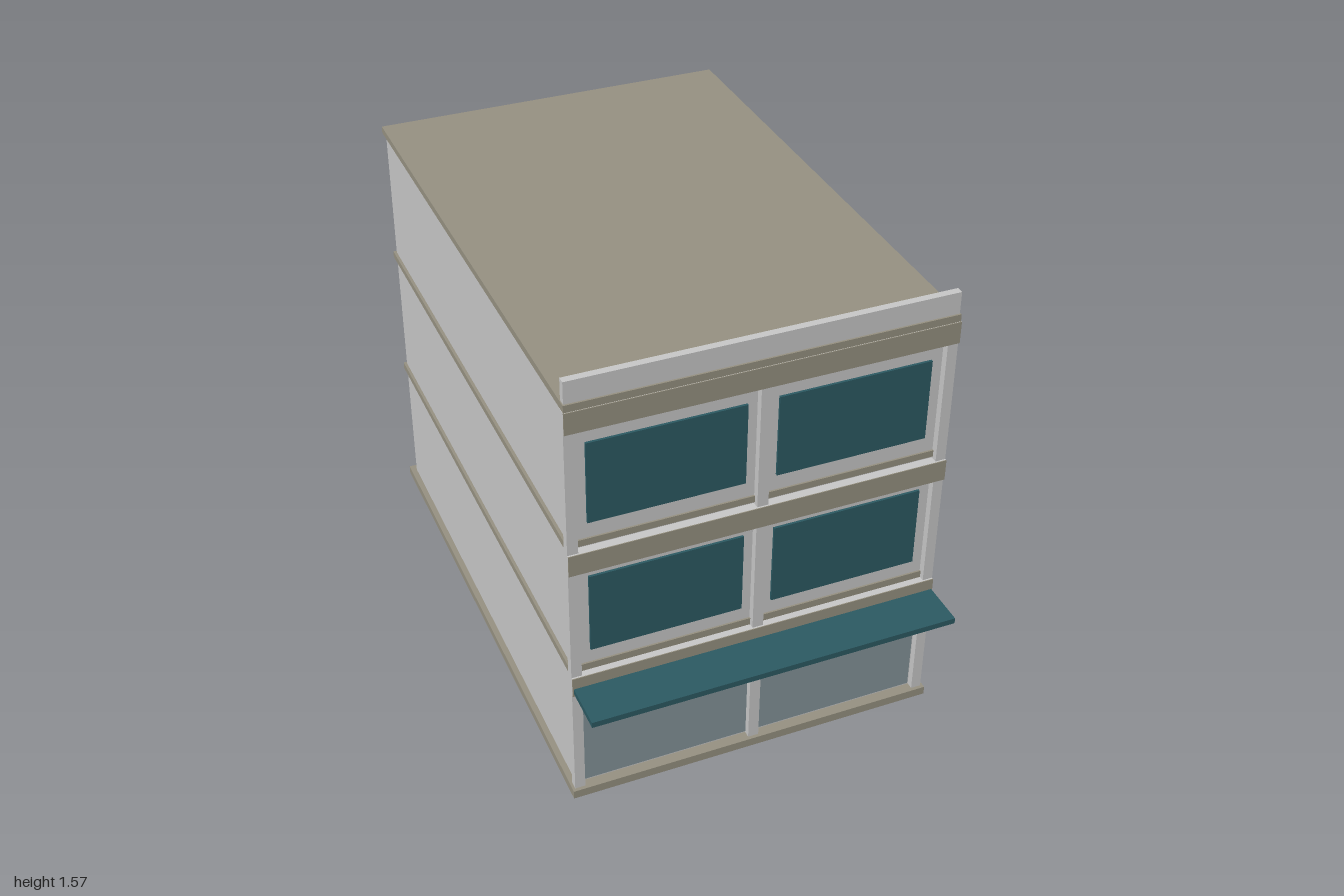
import * as THREE from 'three';

const mat = (name, color) => {
  const m = new THREE.MeshStandardMaterial({ color });
  m.name = name;
  return m;
};

export function createModel() {
  const model = new THREE.Group();
  model.name = 'building';
  const wall = mat('pale grey wall', 0xc9c9c9);
  const stone = mat('taupe concrete', 0x979282);
  const teal = mat('dark teal', 0x2c5a63);
  const glass = mat('blue grey glass', 0x849499);

  // Box given by its lower and upper limits on each axis
  const box = (name, material, x0, x1, y0, y1, z0, z1) => {
    const mesh = new THREE.Mesh(new THREE.BoxGeometry(x1 - x0, y1 - y0, z1 - z0), material);
    mesh.position.set((x0 + x1) / 2, (y0 + y1) / 2, (z0 + z1) / 2);
    mesh.name = name;
    model.add(mesh);
    return mesh;
  };

  // Base, one wall block per storey and the floor slabs between them
  box('base', stone, -0.625, 0.625, 0, 0.03, -1, 0.85);
  const storeys = [[0.03, 0.5], [0.525, 0.98], [1.003, 1.473]];
  for (const [y0, y1] of storeys) box('storeyWalls', wall, -0.605, 0.605, y0, y1, -0.97, 0.814);
  box('floorSlab', stone, -0.615, 0.615, 0.5, 0.525, -0.98, 0.82);
  box('floorSlab', stone, -0.615, 0.615, 0.98, 1.003, -0.98, 0.82);
  box('roofSlab', stone, -0.615, 0.615, 1.473, 1.497, -0.98, 0.842);
  box('parapet', wall, -0.612, 0.612, 1.497, 1.57, 0.812, 0.836);

  // Facade columns
  for (const [x0, x1] of [[-0.616, -0.582], [-0.018, 0.018], [0.582, 0.616]]) {
    box('column', wall, x0, x1, 0.03, 1.473, 0.81, 0.838);
  }

  // Horizontal bands: grey beam with a taupe face
  for (const [y0, y1] of [[0.43, 0.5], [0.9, 0.973], [1.4, 1.473]]) {
    box('bandBeam', wall, -0.616, 0.616, y0, y1, 0.81, 0.843);
    box('bandFace', stone, -0.616, 0.616, y0, y1, 0.843, 0.846);
  }

  // Shop canopy
  box('canopy', teal, -0.612, 0.612, 0.44, 0.46, 0.8, 1);

  // Shop glazing and upper windows, one bay on each side
  for (const s of [-1, 1]) {
    const bay = (name, m, a, b, y0, y1, z1) =>
      box(name, m, Math.min(s * a, s * b), Math.max(s * a, s * b), y0, y1, 0.813, z1);
    bay('shopWindow', glass, 0.02, 0.576, 0.04, 0.428, 0.82);
    bay('window', teal, 0.05, 0.546, 0.577, 0.86, 0.822);
    bay('window', teal, 0.05, 0.546, 1.06, 1.34, 0.822);
  }
  return model;
}
